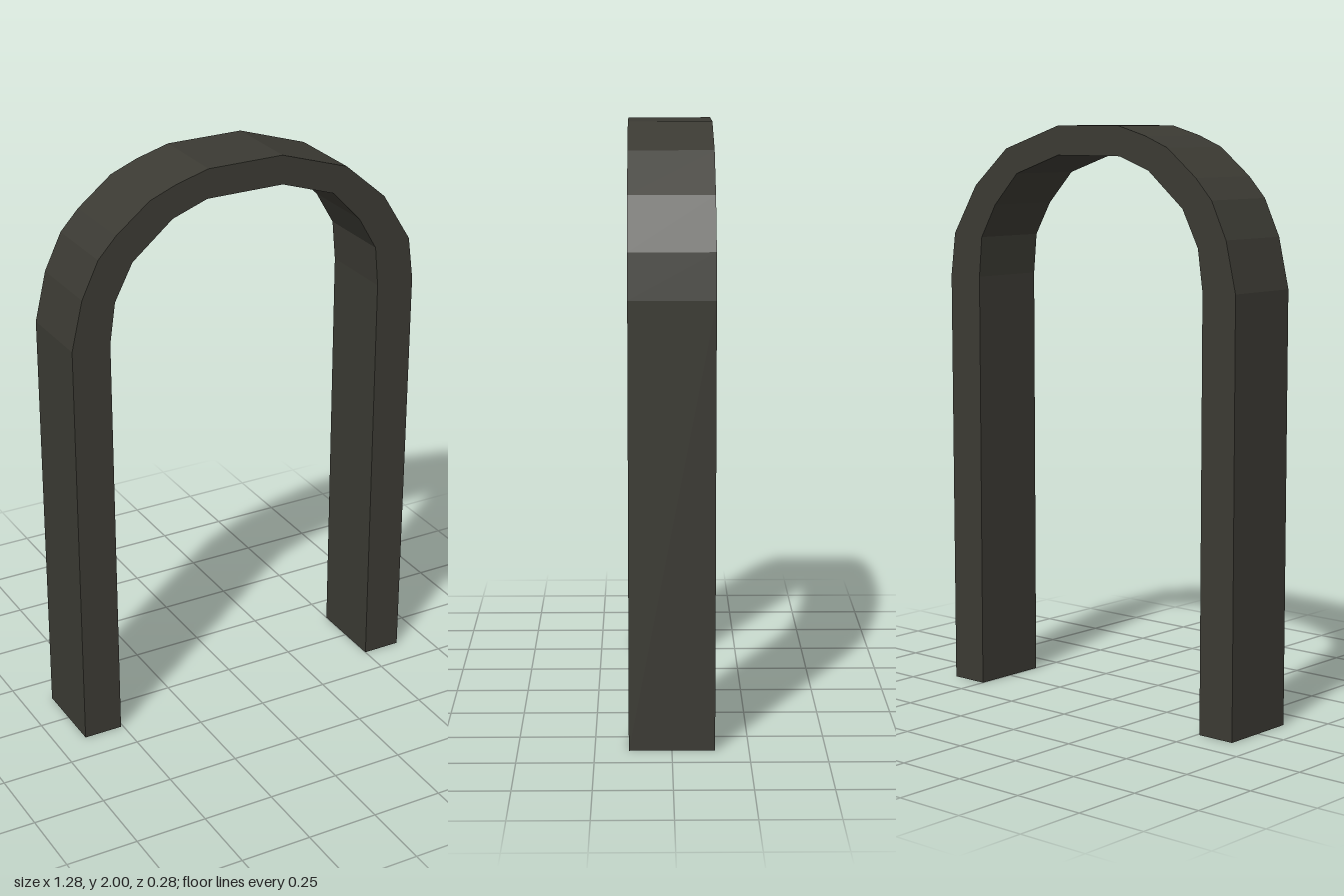
import * as THREE from 'three';

export function createModel() {
  const group = new THREE.Group();
  group.name = 'archway';

  const darkStone = new THREE.MeshStandardMaterial({ color: 0x3b3a33, flatShading: true });
  darkStone.name = 'dark stone';

  // Outer edge, from the foot at -x over the crown to the foot at +x
  const outer = [
    [-0.645, 0], [-0.645, 1.47], [-0.605, 1.64], [-0.545, 1.765], [-0.48, 1.835],
    [-0.36, 1.93], [-0.265, 1.968], [-0.15, 2], [0.12, 2], [0.365, 1.92],
    [0.515, 1.79], [0.62, 1.62], [0.64, 1.47], [0.637, 0],
  ];
  // Inner edge, same direction
  const inner = [
    [-0.508, 0], [-0.51, 1.47], [-0.49, 1.61], [-0.425, 1.735], [-0.28, 1.855],
    [-0.155, 1.9], [0.122, 1.9], [0.315, 1.835], [0.42, 1.725], [0.487, 1.61],
    [0.5, 1.47], [0.5, 0],
  ];

  // Faceted arch band with two straight legs
  const outline = [...outer, ...inner.reverse()].map(([x, y]) => new THREE.Vector2(x, y));
  const depth = 0.28;
  const geometry = new THREE.ExtrudeGeometry(new THREE.Shape(outline), { depth, bevelEnabled: false });
  geometry.translate(0, 0, -depth / 2);

  const arch = new THREE.Mesh(geometry, darkStone);
  arch.name = 'arch';
  group.add(arch);
  return group;
}
